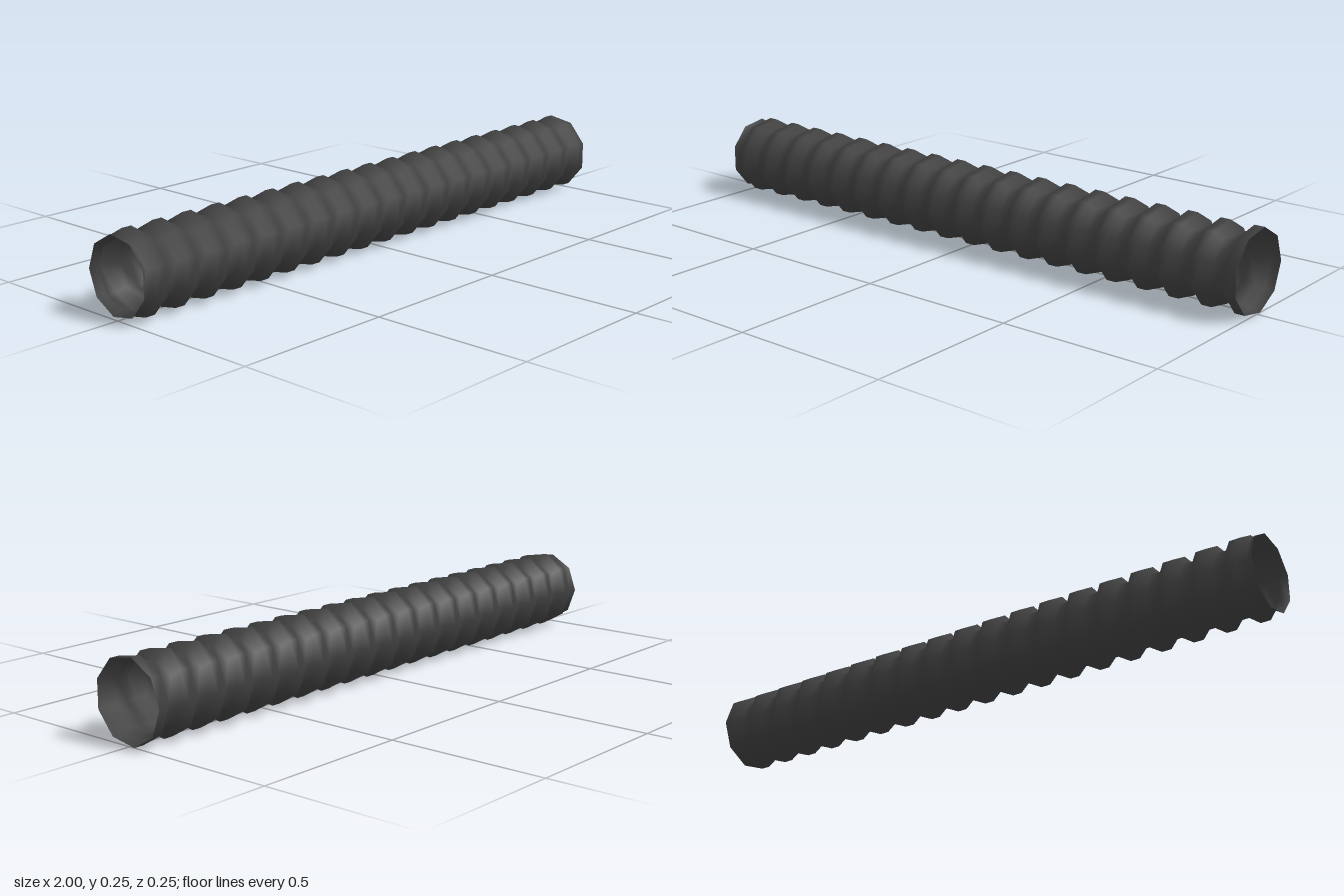
import * as THREE from 'three';

export function createModel() {
  const group = new THREE.Group();
  const ridge = 0.127, groove = 0.104;
  const pitch = 0.107, ridgeHalf = 0.016, slope = 0.02;

  // Wall profile along the hose: slightly flared start, then repeated ridges
  const profile = [new THREE.Vector2(0.119, -1)];
  const ridges = 19;
  for (let i = 0; i < ridges; i++) {
    const c = -0.942 + i * pitch;
    profile.push(
      new THREE.Vector2(groove, c - ridgeHalf - slope),
      new THREE.Vector2(ridge, c - ridgeHalf)
    );
    if (i < ridges - 1) {
      profile.push(
        new THREE.Vector2(ridge, c + ridgeHalf),
        new THREE.Vector2(groove, c + ridgeHalf + slope)
      );
    } else {
      profile.push(new THREE.Vector2(ridge, 1));
    }
  }

  // Nine-sided open hose, turned to lie along x with one corner towards the back
  const geometry = new THREE.LatheGeometry(profile, 9, Math.PI);
  geometry.rotateZ(-Math.PI / 2);
  geometry.translate(0, 0.125, 0.004);

  const hose = new THREE.Mesh(
    geometry,
    new THREE.MeshStandardMaterial({ color: 0x404040, side: THREE.DoubleSide })
  );
  hose.name = 'corrugatedHose';
  group.add(hose);
  return group;
}
